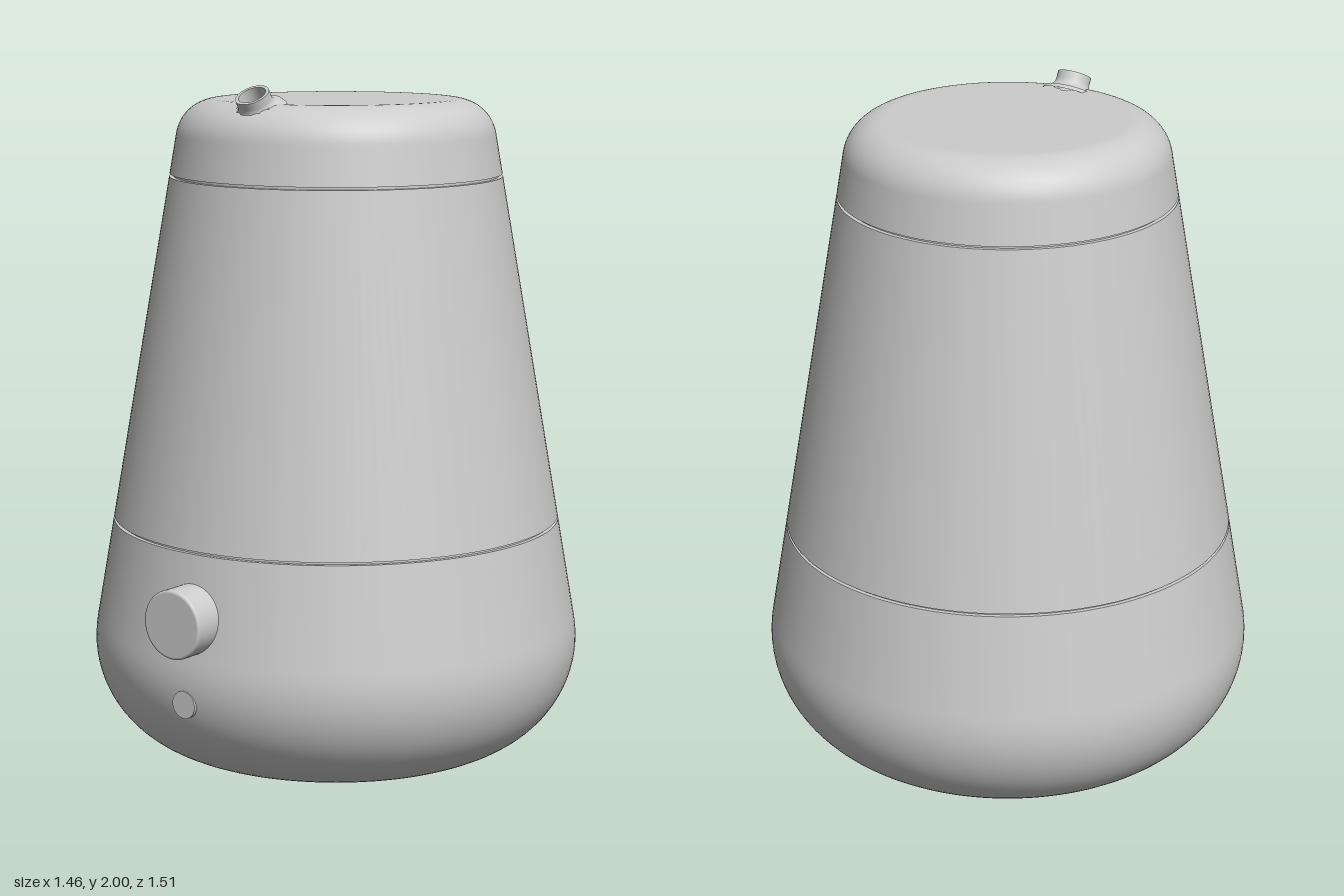
import * as THREE from 'three';

const SEG = 128;
const TILT = Math.atan(0.1735); // slope of the conical wall
const wall = (y) => 0.668 - 0.1735 * (y - 0.71);

export function createModel() {
  const group = new THREE.Group();
  const shell = new THREE.MeshStandardMaterial({ color: 0xcccccc });
  shell.name = 'light grey shell';

  const lathe = (name, pts, seg = SEG, parent = group) => {
    const geo = new THREE.LatheGeometry(pts.map(([r, y]) => new THREE.Vector2(r, y)), seg);
    const mesh = new THREE.Mesh(geo, shell);
    mesh.name = name;
    parent.add(mesh);
    return mesh;
  };
  const arc = (cx, cy, r, a0, a1, n) => Array.from({ length: n + 1 }, (_, i) => {
    const a = a0 + (a1 - a0) * i / n;
    return [cx + r * Math.cos(a), cy + r * Math.sin(a)];
  });

  // Round body, standing slightly behind the centre
  const body = new THREE.Group();
  body.name = 'body';
  body.position.z = -0.03;
  group.add(body);

  const seams = [0.706, 1.728], half = 0.004, depth = 0.012;
  lathe('base', [[0, 0], [0.38, 0],
    ...arc(0.393, 0.335, 0.335, -Math.PI / 2, TILT, 24),
    [wall(0.41), 0.41], [wall(seams[0] - half), seams[0] - half]], SEG, body);
  lathe('tank', [[wall(seams[0] + half), seams[0] + half],
    [wall(seams[1] - half), seams[1] - half]], SEG, body);
  const cap = lathe('cap', [[wall(seams[1] + half), seams[1] + half], [wall(1.84), 1.84],
    ...arc(0.35, 1.8275, 0.1225, TILT, Math.PI / 2, 16),
    [0.335, 1.95], [0.32, 1.95], [0.3, 1.95], [0.25, 1.95], [0, 1.95]], SEG, body);

  // Seam grooves: lower lip, inner wall, upper lip
  for (const y of seams) {
    const lo = y - half, hi = y + half, r = wall(y) - depth;
    const groove = new THREE.Group();
    groove.name = 'seamGroove';
    body.add(groove);
    lathe('grooveLowerLip', [[wall(lo), lo], [r, lo]], SEG, groove);
    lathe('grooveWall', [[r, lo], [r, hi]], SEG, groove);
    lathe('grooveUpperLip', [[r, hi], [wall(hi), hi]], SEG, groove);
  }

  // Tilted spout with a flared foot and a deep bore
  const spout = new THREE.Group();
  spout.name = 'spout';
  spout.position.set(0, 1.977, 0.37);
  spout.rotation.x = Math.PI / 6;
  group.add(spout);
  lathe('spoutOuter', [[0.085, -0.062], ...arc(0.078, -0.022, 0.028, Math.PI * 1.5, Math.PI, 8),
    [0.05, 0]], 40, spout);
  lathe('spoutRim', [[0.05, 0], [0.04, 0]], 40, spout);
  lathe('spoutBore', [[0.04, 0], [0.04, -0.15]], 40, spout);
  lathe('spoutFloor', [[0.04, -0.15], [0, -0.15]], 40, spout);

  // Open the cap underneath the spout
  const axis = new THREE.Vector3(0, Math.cos(Math.PI / 6), Math.sin(Math.PI / 6));
  const pos = cap.geometry.attributes.position, idx = cap.geometry.index.array, keep = [];
  const v = new THREE.Vector3(), c = new THREE.Vector3();
  for (let i = 0; i < idx.length; i += 3) {
    c.set(0, 0, 0);
    for (let k = 0; k < 3; k++) c.add(v.fromBufferAttribute(pos, idx[i + k]));
    c.divideScalar(3).add(body.position).sub(spout.position);
    const along = c.dot(axis);
    const dist = c.addScaledVector(axis, -along).length();
    if (dist > 0.052 || along < -0.12) keep.push(idx[i], idx[i + 1], idx[i + 2]);
  }
  cap.geometry.setIndex(keep);

  // Front controls, turned to face +z
  const control = (name, y, z) => {
    const g = new THREE.Group();
    g.name = name;
    g.position.set(0, y, z);
    g.rotation.x = Math.PI / 2;
    group.add(g);
    return g;
  };
  const knob = control('knob', 0.52, 0.75);
  lathe('knobSide', [[0.1, -0.15], [0.1, -0.008]], 64, knob);
  lathe('knobEdge', arc(0.092, -0.008, 0.008, 0, Math.PI / 2, 5), 64, knob);
  lathe('knobFace', [[0.092, 0], [0, 0]], 64, knob);

  const button = control('button', 0.277, 0.7);
  lathe('buttonSide', [[0.04, -0.06], [0.04, 0]], 40, button);
  lathe('buttonFace', [[0.04, 0], [0, 0]], 40, button);

  return group;
}
